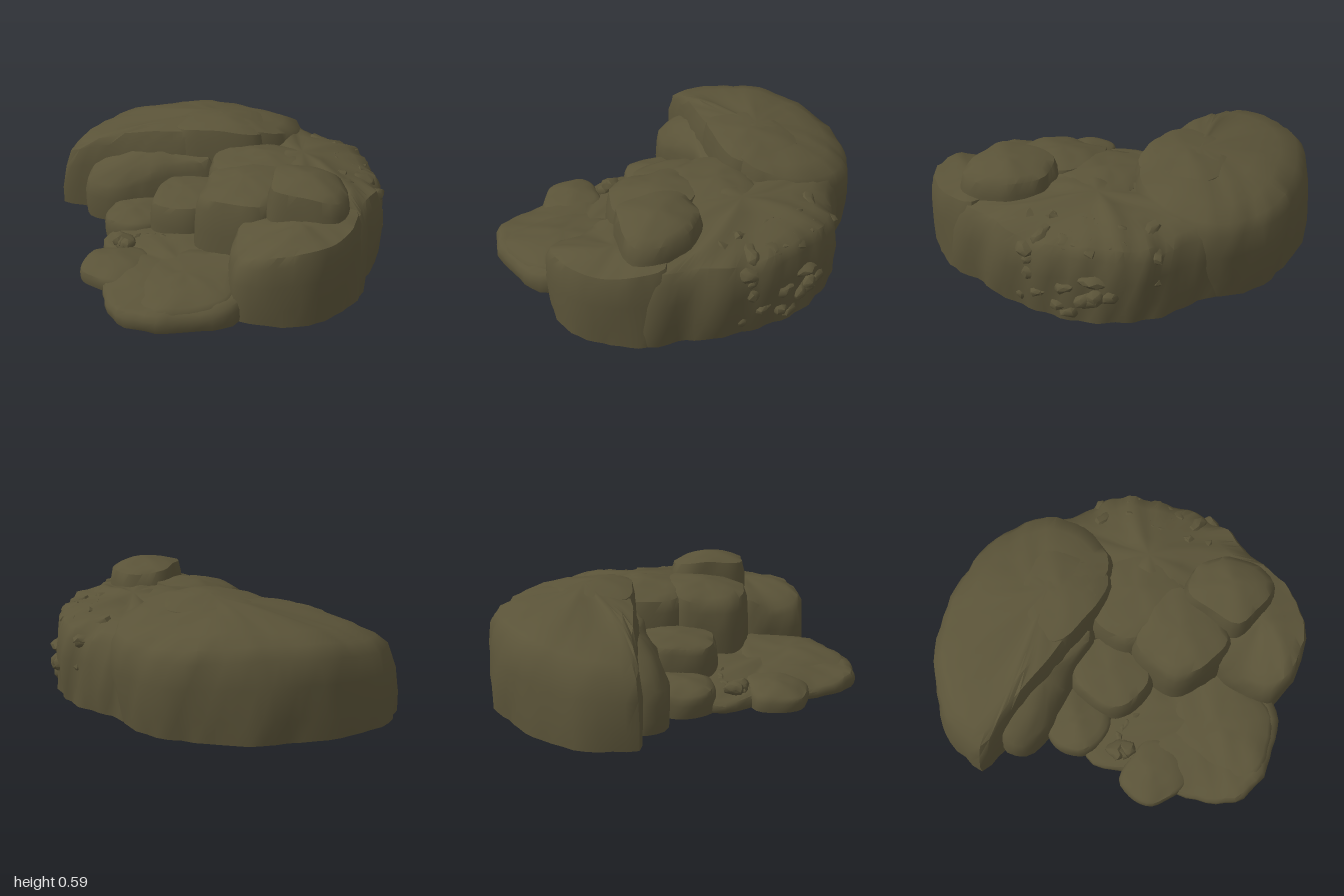
import * as THREE from 'three';
import { toCreasedNormals } from 'three/addons/utils/BufferGeometryUtils.js';

const stone = new THREE.MeshStandardMaterial({ color: 0x5a5338 });
stone.name = 'mossy stone';

// Small seeded random source for the rubble
let seed = 11;
const rnd = () => ((seed = (seed * 16807) % 2147483647) / 2147483647);

// Smooth lumpiness shared by all rocks
const lump = (x, y, z) =>
  Math.sin(x * 13 + y * 5 + z * 7) * 0.5 + Math.sin(z * 17 - x * 9 + 2) * 0.35 +
  Math.sin(x * 31 + z * 27 + y * 11) * 0.3 + Math.sin(x * 43 - z * 37 + y * 19) * 0.2;

// [scale, height]: walls from the ground up to the rim
const WALL = [[0.985, 0], [1, 0.25], [0.995, 0.6], [0.96, 0.87], [0.89, 1]];
const TOP = [0.72, 0.5, 0.25, 0];

// Rock from a plan outline of [x, z, rim height], clockwise from above, and a crown [x, z, height]
function rock(name, outline, crown, { rough = 0.014, lean = [0, 0], sides = 32, ease = 0.65 } = {}) {
  const curve = new THREE.CatmullRomCurve3(outline.map(([x, z, y]) => new THREE.Vector3(x, y, z)), true);
  const ring = curve.getSpacedPoints(sides).slice(0, sides);
  const [cx, cz, cy] = crown;
  const pos = [];
  const addRing = (s, height, t, bump) => {
    for (const p of ring) {
      let x = cx + (p.x - cx) * s + lean[0] * t;
      let z = cz + (p.z - cz) * s + lean[1] * t;
      let y = height(p.y);
      const n = lump(x, y, z) * bump;
      const d = Math.hypot(p.x - cx, p.z - cz) || 1;
      if (s > 0.8) {
        x += (p.x - cx) / d * n;
        z += (p.z - cz) / d * n;
      }
      if (t === 1) y += n * 0.8;
      pos.push(x, y, z);
    }
  };
  addRing(0, () => 0, 0, 0);
  WALL.forEach(([s, t]) => addRing(s, (rim) => rim * t, t, rough));
  TOP.forEach((s) => {
    const k = Math.pow((0.89 - s) / 0.89, ease);
    addRing(s, (rim) => rim + (cy - rim) * k, 1, s ? rough : 0);
  });
  const index = [], rows = WALL.length + TOP.length;
  for (let i = 0; i < rows; i++) {
    for (let j = 0; j < sides; j++) {
      const a = i * sides + j, b = i * sides + (j + 1) % sides, c = a + sides, d = b + sides;
      if (i < rows - 1) index.push(b, c, d);
      if (i > 0) index.push(a, c, b);
    }
  }
  const geo = new THREE.BufferGeometry();
  geo.setAttribute('position', new THREE.Float32BufferAttribute(pos, 3));
  geo.setIndex(index);
  const mesh = new THREE.Mesh(toCreasedNormals(geo, 0.8), stone);
  mesh.name = name;
  return mesh;
}

// Angular stone, mostly sunk into the rock around it
function chip(x, y, z, r) {
  const geo = new THREE.IcosahedronGeometry(r, 1);
  const p = geo.attributes.position, k = rnd() * 9;
  for (let i = 0; i < p.count; i++) {
    const f = 1 + 0.25 * Math.sin(p.getX(i) / r * 3 + k) * Math.cos(p.getZ(i) / r * 4 - k);
    p.setXYZ(i, p.getX(i) * f, p.getY(i) * f * 0.6, p.getZ(i) * f);
  }
  const mesh = new THREE.Mesh(toCreasedNormals(geo, 0.7), stone);
  mesh.position.set(x, y, z);
  mesh.rotation.set(rnd() * 0.5, rnd() * 6, rnd() * 0.5);
  mesh.name = 'looseStone';
  return mesh;
}

export function createModel() {
  const model = new THREE.Group();
  model.name = 'rockFormation';

  // Large slab across the back
  model.add(rock('backSlab', [
    [-0.95, -0.25, 0.39], [-0.95, -0.42, 0.4], [-0.89, -0.58, 0.42], [-0.69, -0.79, 0.45], [-0.42, -0.93, 0.46],
    [-0.1, -1.0, 0.43], [0.15, -0.96, 0.43], [0.34, -0.84, 0.44], [0.42, -0.6, 0.47], [0.33, -0.32, 0.53],
    [0.0, -0.22, 0.56], [-0.25, -0.2, 0.54], [-0.55, -0.22, 0.49], [-0.78, -0.23, 0.45],
  ], [-0.08, -0.48, 0.58], { lean: [0.05, -0.005], sides: 56 }));
  model.add(rock('backSlabCap', [
    [-0.26, -0.25, 0.54], [-0.24, -0.55, 0.54], [-0.1, -0.68, 0.53], [0.18, -0.66, 0.53],
    [0.3, -0.5, 0.52], [0.26, -0.25, 0.54], [0.0, -0.2, 0.56],
  ], [0.02, -0.42, 0.588], { rough: 0.006 }));

  // Weathered shoulder along the right and back right
  model.add(rock('rightShoulder', [
    [0.22, -0.88, 0.43], [0.44, -0.76, 0.42], [0.73, -0.63, 0.4], [0.85, -0.42, 0.41], [0.94, -0.22, 0.4],
    [0.96, 0.0, 0.39], [0.92, 0.2, 0.4], [0.9, 0.42, 0.4], [0.7, 0.5, 0.4], [0.35, 0.3, 0.43], [0.15, -0.2, 0.45],
  ], [0.5, -0.2, 0.495], { rough: 0.024, sides: 76 }));
  // Front right block
  model.add(rock('frontRightBlock', [
    [0.3, 0.42, 0.37], [0.6, 0.3, 0.41], [0.88, 0.3, 0.42], [0.89, 0.46, 0.41], [0.82, 0.63, 0.39],
    [0.67, 0.76, 0.38], [0.48, 0.82, 0.36], [0.33, 0.79, 0.33], [0.27, 0.62, 0.3],
  ], [0.6, 0.5, 0.42], { rough: 0.016, sides: 44 }));

  // Stepped boulders in the middle
  model.add(rock('middleBoulder', [
    [0.02, -0.27, 0.45], [0.3, -0.34, 0.47], [0.55, -0.3, 0.46], [0.62, -0.05, 0.46], [0.45, 0.1, 0.47],
    [0.15, 0.1, 0.46], [0.02, 0.0, 0.44],
  ], [0.3, -0.13, 0.51], { rough: 0.01 }));
  model.add(rock('stepBoulder', [
    [0.04, 0.04, 0.44], [0.22, -0.02, 0.48], [0.45, 0.02, 0.49], [0.5, 0.25, 0.48], [0.42, 0.45, 0.45],
    [0.24, 0.45, 0.44], [0.03, 0.35, 0.42], [0.01, 0.18, 0.42],
  ], [0.25, 0.2, 0.5], { rough: 0.01 }));
  model.add(rock('topBoulder', [
    [0.41, 0.1, 0.55], [0.58, 0.03, 0.53], [0.73, 0.11, 0.53], [0.82, 0.29, 0.51], [0.79, 0.46, 0.51],
    [0.6, 0.49, 0.54], [0.42, 0.45, 0.55], [0.4, 0.25, 0.56],
  ], [0.61, 0.28, 0.59], { rough: 0.008 }));
  model.add(rock('ledgeBoulder', [
    [-0.28, -0.12, 0.28], [-0.2, -0.2, 0.29], [0.0, -0.2, 0.3], [0.05, 0.0, 0.3], [0.03, 0.2, 0.28],
    [-0.1, 0.23, 0.27], [-0.26, 0.17, 0.26], [-0.3, 0.03, 0.27],
  ], [-0.12, 0.0, 0.305], { rough: 0.008 }));

  // Left foot of the slab and the small stones in the left notch
  model.add(rock('leftFoot', [
    [-0.75, -0.26, 0.3], [-0.4, -0.32, 0.4], [-0.05, -0.3, 0.43], [0.02, -0.18, 0.4], [-0.22, -0.15, 0.34],
    [-0.42, -0.1, 0.27], [-0.58, -0.07, 0.22], [-0.74, -0.13, 0.24],
  ], [-0.4, -0.23, 0.4]));
  model.add(rock('notchBoulder', [
    [-0.55, -0.12, 0.13], [-0.38, -0.18, 0.15], [-0.24, -0.1, 0.15], [-0.24, 0.12, 0.13], [-0.4, 0.18, 0.12],
    [-0.54, 0.12, 0.11], [-0.58, 0.0, 0.11],
  ], [-0.4, 0.0, 0.16], { rough: 0.01 }));

  // Low apron at the front
  model.add(rock('lowApron', [
    [-0.48, 0.12, 0.08], [-0.1, 0.05, 0.13], [0.3, 0.2, 0.17], [0.42, 0.5, 0.17], [0.36, 0.82, 0.12],
    [0.2, 0.93, 0.1], [0.0, 0.99, 0.1], [-0.2, 0.97, 0.09], [-0.32, 0.8, 0.06], [-0.4, 0.62, 0.06],
    [-0.45, 0.38, 0.07], [-0.52, 0.24, 0.06],
  ], [0.0, 0.52, 0.13], { rough: 0.018, sides: 56 }));
  model.add(rock('frontBoulder', [
    [-0.16, 0.4, 0.1], [0.05, 0.36, 0.14], [0.28, 0.46, 0.16], [0.33, 0.79, 0.13], [0.15, 0.93, 0.11],
    [0.0, 0.97, 0.11], [-0.15, 0.92, 0.09], [-0.2, 0.68, 0.09],
  ], [0.05, 0.65, 0.155], { rough: 0.012 }));
  model.add(rock('lowLeftBoulder', [
    [-0.5, 0.38, 0.08], [-0.35, 0.35, 0.1], [-0.2, 0.38, 0.1], [-0.18, 0.55, 0.09], [-0.26, 0.68, 0.07],
    [-0.38, 0.68, 0.07], [-0.53, 0.6, 0.07], [-0.54, 0.47, 0.08],
  ], [-0.36, 0.5, 0.12], { rough: 0.008 }));

  // Rubble sunk into the shoulder top, the outer wall and the notch floor
  const rubble = new THREE.Group();
  rubble.name = 'rubble';
  for (let i = 0; i < 36; i++) {
    const a = -1.2 + rnd() * 1.5, r = 0.3 + rnd() * 0.25;
    rubble.add(chip(0.3 + r * Math.cos(a), 0.495 - 0.2 * r, -0.1 + r * Math.sin(a), 0.045 + rnd() * 0.03));
  }
  for (let i = 0; i < 24; i++) {
    const a = -1.05 + rnd() * 1.4;
    rubble.add(chip(0.3 + 0.605 * Math.cos(a), 0.05 + rnd() * 0.3, -0.1 + 0.605 * Math.sin(a), 0.05 + rnd() * 0.02));
  }
  for (let i = 0; i < 12; i++) rubble.add(chip(-0.45 + rnd() * 0.42, 0.085, 0.2 + rnd() * 0.16, 0.03 + rnd() * 0.03));
  model.add(rubble);
  return model;
}
